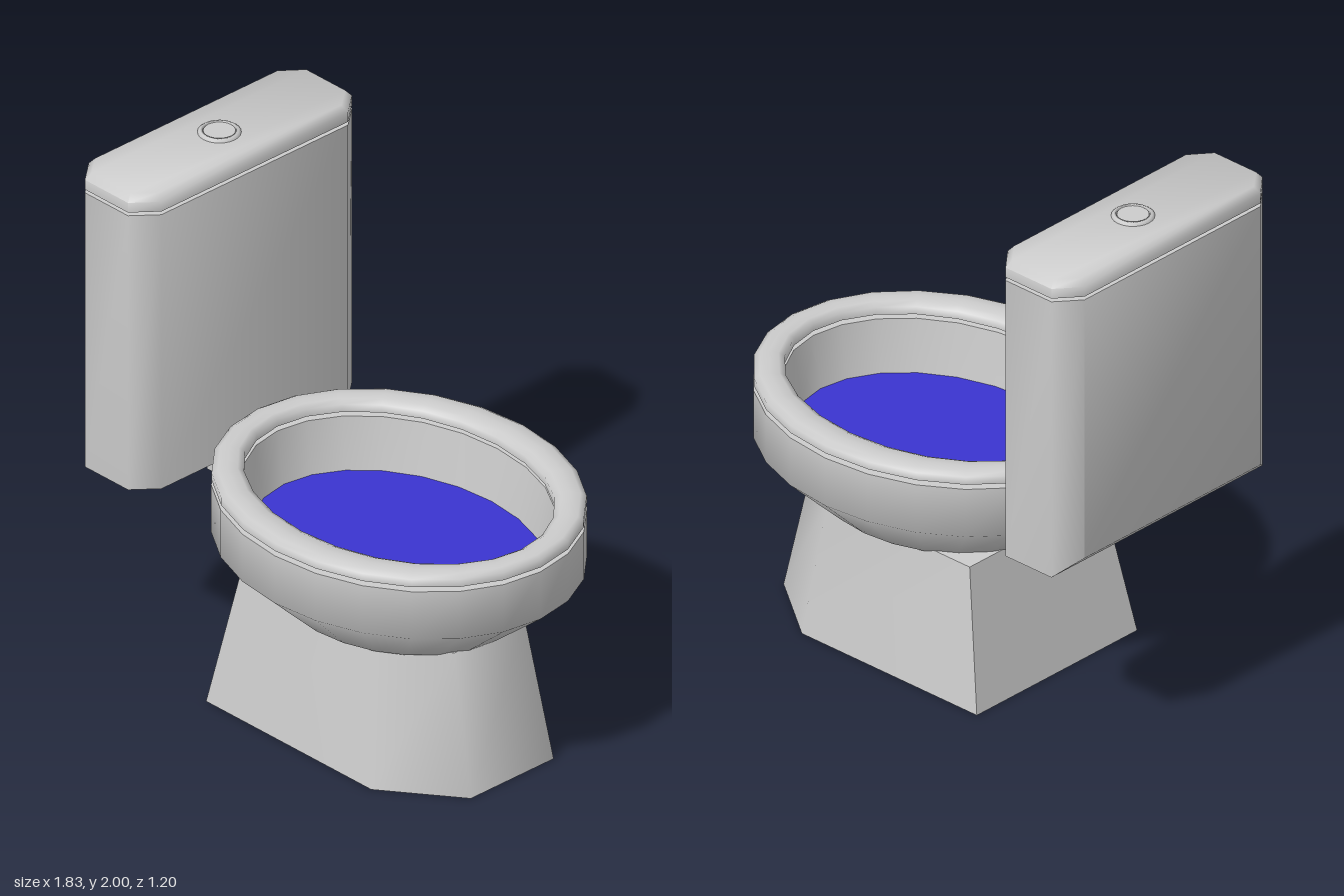
import * as THREE from 'three';
import { toCreasedNormals } from 'three/addons/utils/BufferGeometryUtils.js';

const grey = new THREE.MeshStandardMaterial({ color: 0xcccccc });
const blue = new THREE.MeshStandardMaterial({ color: 0x3a34d0 });
const BOWL_X = 0.19;

// Skins a stack of rings, each a list of [x, y, z]; caps join mirrored points.
function loft(rings, { capped = true, crease = 1 } = {}) {
  const n = rings[0].length;
  const index = [];
  for (let r = 0; r < rings.length - 1; r++) {
    for (let i = 0; i < n; i++) {
      const a = r * n + i, b = r * n + ((i + 1) % n);
      index.push(a, a + n, b, b, a + n, b + n);
    }
  }
  if (capped) {
    const top = (rings.length - 1) * n;
    for (let i = 0; i < n / 2 - 1; i++) {
      const j = n - 1 - i;
      index.push(top + i, top + j, top + i + 1, top + j, top + j - 1, top + i + 1);
      index.push(i, i + 1, j, j, i + 1, j - 1);
    }
  }
  const geometry = new THREE.BufferGeometry();
  geometry.setAttribute('position', new THREE.Float32BufferAttribute(rings.flat(2), 3));
  geometry.setIndex(index);
  return toCreasedNormals(geometry, crease);
}

// Completes the +z half of an outline, listed from front to back.
const mirrored = (half) => [...half, ...half.map(([x, y, z]) => [x, y, -z]).reverse()];

// Elliptical ring around the bowl centre.
function ellipse(rx, rz, y, sides = 24) {
  return Array.from({ length: sides }, (_, i) => {
    const a = (i / sides) * Math.PI * 2;
    return [BOWL_X + rx * Math.cos(a), y, rz * Math.sin(a)];
  });
}

// Octagonal outline of the tank, shrunk by an inset.
function tankRing(y, inset = 0, backY = y) {
  return mirrored([
    [-0.545 - inset, y, 0.45 - inset * 0.5],
    [-0.62 - inset * 0.5, y, 0.54 - inset],
    [-0.84 + inset * 0.5, y, 0.54 - inset],
    [-0.915 + inset, backY, 0.45 - inset * 0.5],
  ]);
}

export function createModel() {
  const model = new THREE.Group();
  const add = (name, geometry, material = grey) => {
    const mesh = new THREE.Mesh(geometry, material);
    mesh.name = name;
    model.add(mesh);
    return mesh;
  };

  // Pedestal: square at the back, chamfered at the front, narrowing upwards
  add('pedestal', loft([
    mirrored([[0.765, 0, 0.2], [0.48, 0, 0.41], [-0.36, 0, 0.41]]),
    mirrored([[0.65, 0.53, 0.17], [0.42, 0.53, 0.34], [-0.26, 0.53, 0.34]]),
  ]));

  // Bowl: outside, rim and hollow inside
  add('bowl', loft([
    ellipse(0.001, 0.001, 0.49),
    ellipse(0.42, 0.34, 0.492),
    ellipse(0.48, 0.4, 0.515),
    ellipse(0.72, 0.6, 0.71),
    ellipse(0.72, 0.6, 0.902),
    ellipse(0.62, 0.475, 0.902),
    ellipse(0.585, 0.445, 0.69),
    ellipse(0.001, 0.001, 0.68),
  ], { capped: false }));

  // Water inside the bowl
  const water = new THREE.CircleGeometry(1, 24).rotateX(-Math.PI / 2).scale(0.587, 1, 0.447);
  add('water', water, blue).position.set(BOWL_X, 0.7, 0);

  // Seat ring, rounded on top and hovering just above the rim
  const seat = [
    [0.62, 0.47, 0.92], [0.72, 0.597, 0.92], [0.72, 0.597, 0.95], [0.7, 0.575, 0.962],
    [0.67, 0.535, 0.965], [0.64, 0.495, 0.962], [0.62, 0.47, 0.95], [0.62, 0.47, 0.92],
  ];
  add('seat', loft(seat.map(([rx, rz, y]) => ellipse(rx, rz, y)), { capped: false, crease: 1.3 }));

  // Neck joining bowl and tank
  add('neck', loft([
    mirrored([[-0.42, 0.715, 0.12], [-0.52, 0.715, 0.135], [-0.64, 0.715, 0.14]]),
    mirrored([[-0.42, 0.83, 0.12], [-0.52, 0.82, 0.135], [-0.64, 0.81, 0.14]]),
  ]));

  // Tank, with its lower back edge cut at a slant
  add('tank', loft([tankRing(0.8, 0, 0.87), tankRing(1.913)]));

  // Lid with a bevelled top edge
  add('tankLid', loft([tankRing(1.926), tankRing(1.965), tankRing(1.99, 0.022)]));

  // Flush button in its collar
  add('buttonCollar', new THREE.LatheGeometry(
    [[0.06, 1.98], [0.077, 1.98], [0.077, 1.993], [0.068, 2], [0.06, 2], [0.06, 1.98]]
      .map(([x, y]) => new THREE.Vector2(x, y)), 24)).position.set(-0.725, 0, 0);
  add('flushButton', new THREE.CylinderGeometry(0.057, 0.057, 0.018, 24)).position.set(-0.725, 1.988, 0);

  return model;
}
